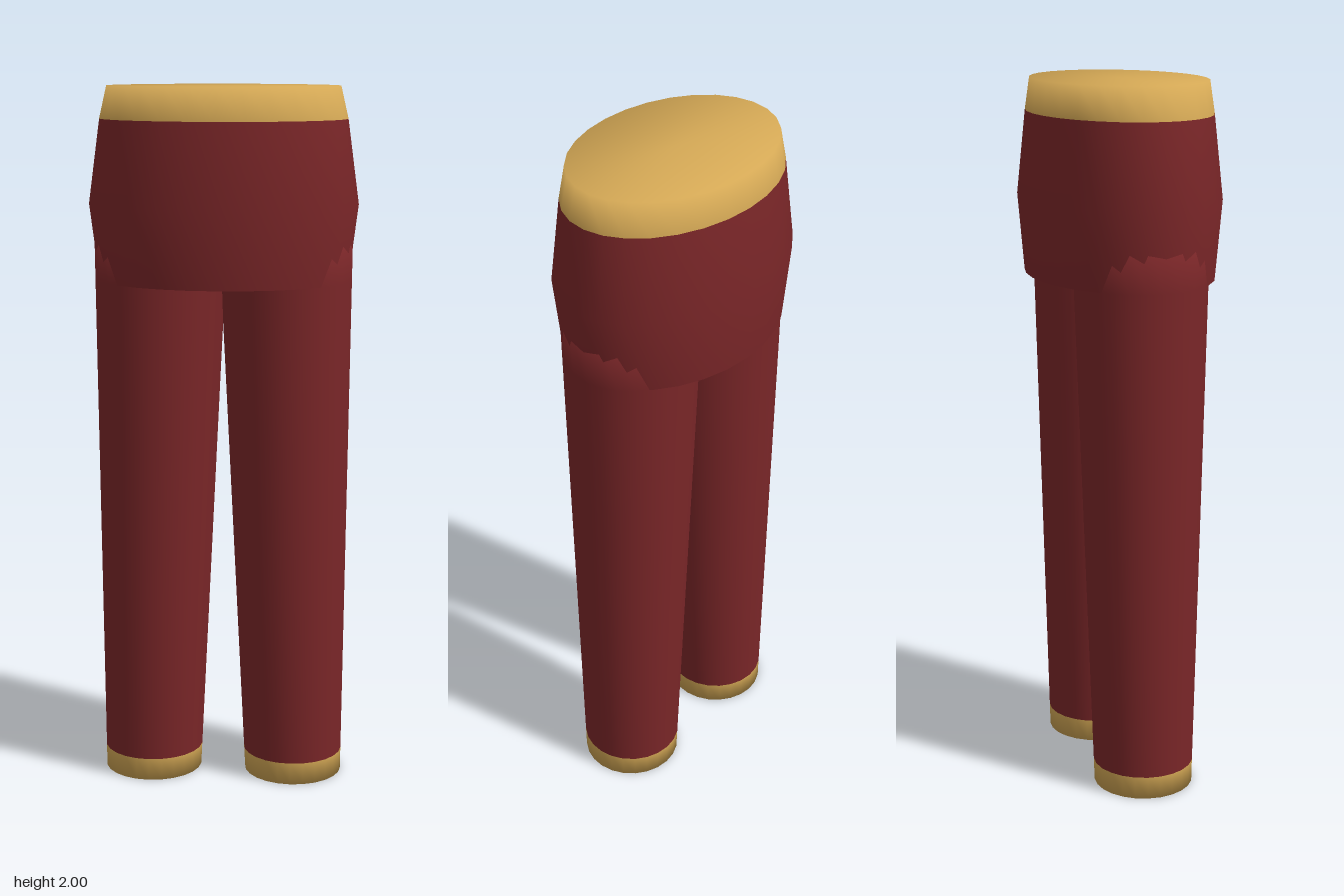
import * as THREE from 'three';

const maroon = new THREE.MeshStandardMaterial({ color: 0x7a2628 });
maroon.name = 'maroon cloth';
const gold = new THREE.MeshStandardMaterial({ color: 0xd4a855 });
gold.name = 'gold trim';

// Smooth skin over elliptical rings [y, centreX, radiusX, radiusZ], listed bottom to top
function loft(name, material, rings, sides, capBottom, capTop) {
  const pos = [], index = [];
  for (const [y, cx, rx, rz] of rings) {
    for (let i = 0; i < sides; i++) {
      const a = (i / sides) * Math.PI * 2;
      pos.push(cx + Math.cos(a) * rx, y, Math.sin(a) * rz);
    }
  }
  for (let r = 0; r < rings.length - 1; r++) {
    for (let i = 0; i < sides; i++) {
      const a = r * sides + i, b = r * sides + ((i + 1) % sides);
      index.push(a, a + sides, b + sides, a, b + sides, b);
    }
  }
  const cap = (r, up) => {
    const c = pos.length / 3;
    pos.push(rings[r][1], rings[r][0], 0);
    for (let i = 0; i < sides; i++) {
      const a = r * sides + i, b = r * sides + ((i + 1) % sides);
      if (up) index.push(c, b, a);
      else index.push(c, a, b);
    }
  };
  if (capBottom) cap(0, false);
  if (capTop) cap(rings.length - 1, true);
  const geo = new THREE.BufferGeometry();
  geo.setAttribute('position', new THREE.Float32BufferAttribute(pos, 3));
  geo.setIndex(index);
  geo.computeVertexNormals();
  const mesh = new THREE.Mesh(geo, material);
  mesh.name = name;
  return mesh;
}

export function createModel() {
  const group = new THREE.Group();
  group.name = 'trousers';

  // Hips, flaring to the widest ring, and the waistband above
  group.add(loft('hips', maroon, [
    [1.46, 0, 0.353, 0.255],
    [1.675, 0, 0.38, 0.272],
    [1.91, 0, 0.348, 0.248],
  ], 28, false, false));
  group.add(loft('hipUnderside', maroon, [
    [1.46, 0, 0.353, 0.255],
    [1.461, 0, 0.353, 0.255],
  ], 28, true, false));
  group.add(loft('waistband', gold, [
    [1.91, 0, 0.348, 0.248],
    [2.0, 0, 0.327, 0.236],
  ], 28, false, true));

  // Tapered legs leaning outward, each ending in a cuff
  const legRing = (y, side) => {
    const t = y / 1.46;
    const r = 0.142 + 0.043 * t;
    return [y, side * (0.208 - 0.029 * t), r, r];
  };
  for (const side of [1, -1]) {
    const label = side > 0 ? 'left' : 'right';
    const rings = [0.065, 0.5, 1, 1.46, 1.6].map((y) => legRing(y, side));
    group.add(loft(label + 'Leg', maroon, rings, 24, false, true));
    group.add(loft(label + 'Cuff', gold, [legRing(0, side), legRing(0.065, side)], 24, true, false));
  }
  return group;
}
